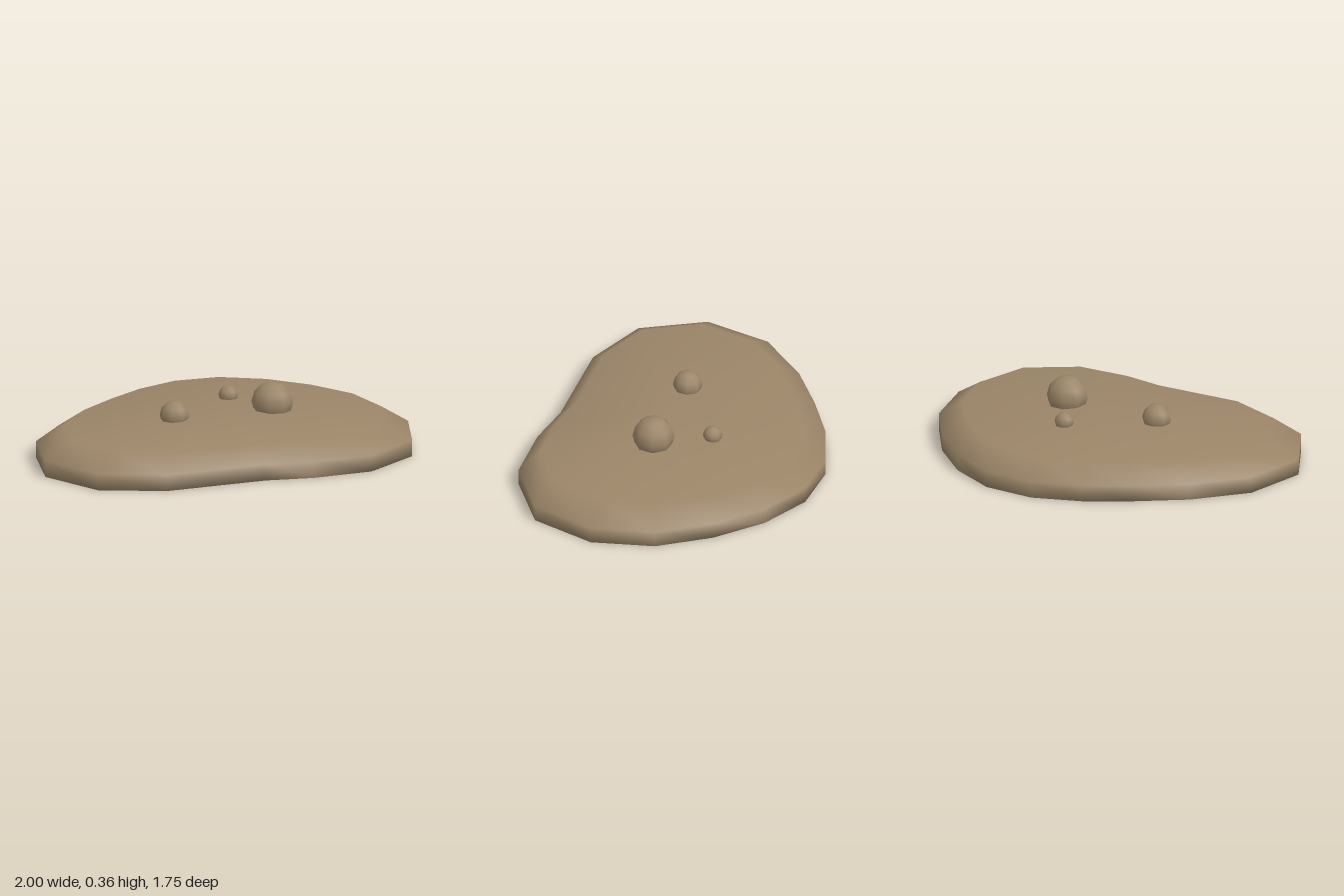
import * as THREE from 'three';

const stone = new THREE.MeshStandardMaterial({ name: 'brown stone', color: 0x9b8568 });

// Footprint of the slab as x, z corners, clockwise from above
const OUTLINE = [
  [-0.20, -0.875], [0.10, -0.88], [0.40, -0.80], [0.69, -0.65], [0.92, -0.39], [1.00, -0.03],
  [0.83, 0.29], [0.54, 0.46], [0.29, 0.55], [-0.20, 0.83], [-0.57, 0.875], [-0.89, 0.67],
  [-1.00, 0.31], [-0.92, -0.03], [-0.79, -0.30], [-0.65, -0.54], [-0.46, -0.75],
];

// Rings of the slab: height and scale of the footprint
const RINGS = [[0, 1], [0.09, 1], [0.18, 0.855]];
const PEAK = 0.213;

function slabGeometry() {
  const n = OUTLINE.length;
  const positions = [];
  const index = [];
  for (const [y, s] of RINGS) for (const [x, z] of OUTLINE) positions.push(x * s, y, z * s);
  positions.push(0, PEAK, 0);
  const peak = RINGS.length * n;

  for (let i = 0; i < n; i++) {
    const j = (i + 1) % n;
    // Wall and bevel
    for (let r = 0; r < RINGS.length - 1; r++) {
      const low = r * n;
      const high = low + n;
      index.push(low + i, high + i, high + j, low + i, high + j, low + j);
    }
    // Shallow domed top
    index.push(peak, peak - n + j, peak - n + i);
  }

  // Underside, sharing its corners with the wall for soft shading
  const corners = OUTLINE.map(([x, z]) => new THREE.Vector2(x, z));
  for (const face of THREE.ShapeUtils.triangulateShape(corners, [])) index.push(...face);

  const geometry = new THREE.BufferGeometry();
  geometry.setAttribute('position', new THREE.Float32BufferAttribute(positions, 3));
  geometry.setIndex(index);
  geometry.computeVertexNormals();
  return geometry;
}

export function createModel() {
  const group = new THREE.Group();
  group.name = 'rockSlab';

  const slab = new THREE.Mesh(slabGeometry(), stone);
  slab.name = 'slab';
  group.add(slab);

  // Round pebbles half sunk into the top: name, radius, x, y, z
  const pebbles = [
    ['largePebble', 0.114, 0.222, 0.243, -0.122],
    ['mediumPebble', 0.08, -0.27, 0.224, 0.147],
    ['smallPebble', 0.053, -0.047, 0.217, -0.30],
  ];
  for (const [name, radius, x, y, z] of pebbles) {
    const pebble = new THREE.Mesh(new THREE.SphereGeometry(radius, 8, 6), stone);
    pebble.name = name;
    pebble.position.set(x, y, z);
    group.add(pebble);
  }
  return group;
}
